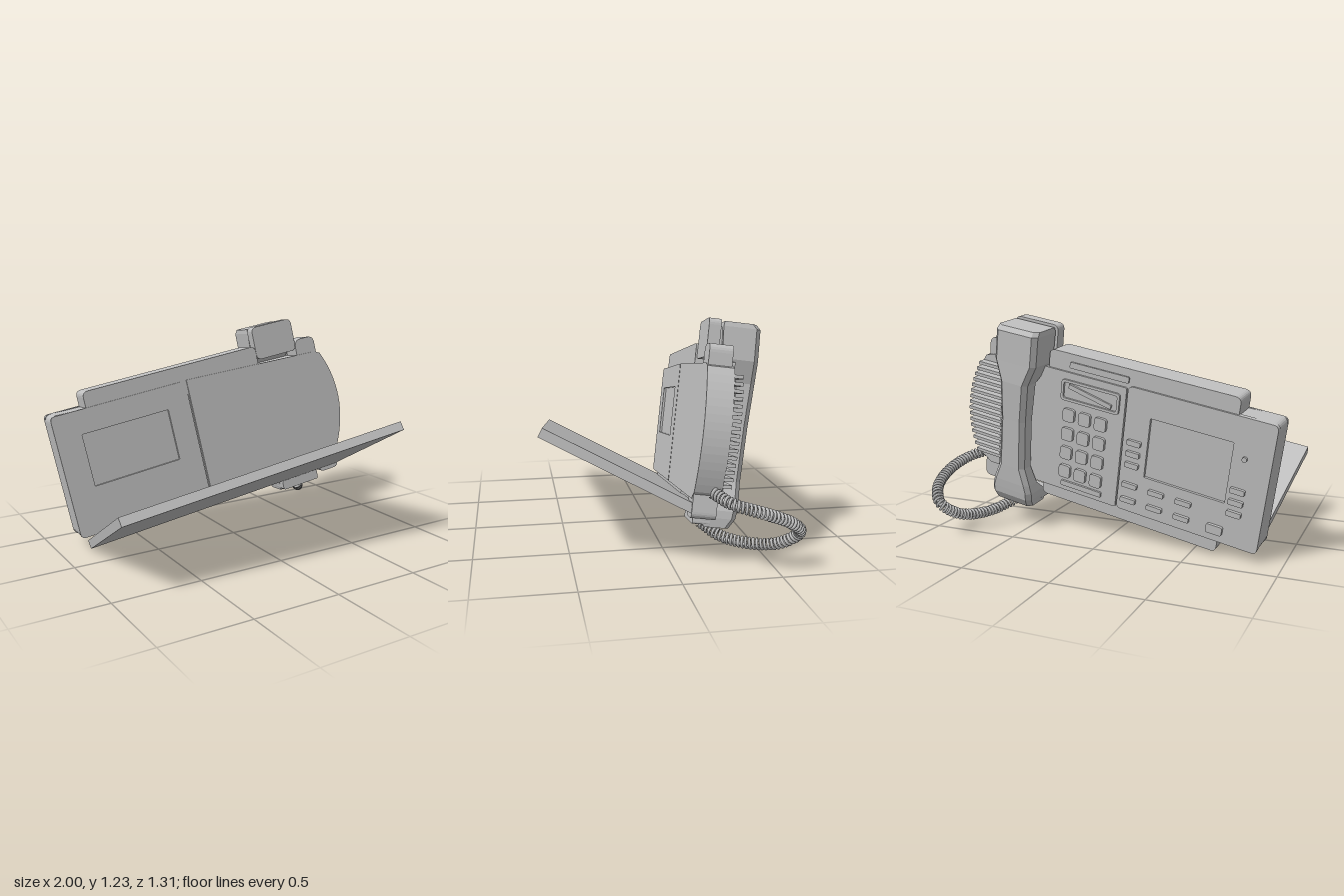
import * as THREE from 'three';

const grey = new THREE.MeshStandardMaterial({ color: 0xc0c0c0 });
grey.name = 'grey';

function add(parent, name, geometry) {
  const m = new THREE.Mesh(geometry, grey);
  m.name = name;
  parent.add(m);
  return m;
}

// Rectangle path with rounded corners
function roundRect(x0, x1, y0, y1, r, target = new THREE.Shape()) {
  target.moveTo(x0 + r, y0);
  target.lineTo(x1 - r, y0);
  target.quadraticCurveTo(x1, y0, x1, y0 + r);
  target.lineTo(x1, y1 - r);
  target.quadraticCurveTo(x1, y1, x1 - r, y1);
  target.lineTo(x0 + r, y1);
  target.quadraticCurveTo(x0, y1, x0, y1 - r);
  target.lineTo(x0, y0 + r);
  target.quadraticCurveTo(x0, y0, x0 + r, y0);
  return target;
}

// Straight extrusion between two depths
function slab(shape, z0, z1) {
  const g = new THREE.ExtrudeGeometry(shape, { depth: z1 - z0, bevelEnabled: false, curveSegments: 6 });
  g.translate(0, 0, z0);
  return g;
}

// Edge of the rounded speaker end at a given height
const endX = (y) => 0.82 + 0.08 * (1 - ((y - 0.02) / 0.31) ** 2);

// Body outline from x0 to the curved end
function bodyOutline(x0, r) {
  const s = new THREE.Shape();
  s.moveTo(x0 + r, -0.33);
  s.lineTo(0.76, -0.33);
  for (let i = 0; i <= 16; i++) {
    const y = -0.29 + (0.62 * i) / 16;
    s.lineTo(endX(y), y);
  }
  s.lineTo(0.77, 0.345);
  s.lineTo(x0 + r, 0.385);
  s.quadraticCurveTo(x0, 0.385, x0, 0.385 - r);
  s.lineTo(x0, -0.33 + r);
  s.quadraticCurveTo(x0, -0.33, x0 + r, -0.33);
  return s;
}

// Skin chamfered cross-sections [y, inner z, outer z, half width]
function loft(sections, cx) {
  const rings = sections.map(([y, zi, zo, w]) => {
    const c = 0.025;
    return [[w, zi], [w, zo + c], [w - c, zo], [-w + c, zo], [-w, zo + c], [-w, zi]]
      .map(([x, z]) => [cx + x, y, z]);
  });
  const pos = [];
  const n = 6;
  for (let k = 0; k + 1 < rings.length; k++) {
    for (let i = 0; i < n; i++) {
      const j = (i + 1) % n;
      const a = rings[k][i], b = rings[k][j], c = rings[k + 1][j], d = rings[k + 1][i];
      pos.push(...a, ...b, ...c, ...a, ...c, ...d);
    }
  }
  const top = rings[rings.length - 1], bottom = rings[0];
  for (let i = 1; i + 1 < n; i++) {
    pos.push(...bottom[0], ...bottom[i + 1], ...bottom[i]);
    pos.push(...top[0], ...top[i], ...top[i + 1]);
  }
  const g = new THREE.BufferGeometry();
  g.setAttribute('position', new THREE.Float32BufferAttribute(pos, 3));
  g.computeVertexNormals();
  return g;
}

// Helix wound around a path
class Coil extends THREE.Curve {
  constructor(path, turns, radius) {
    super();
    Object.assign(this, { path, turns, radius });
  }
  getPoint(t, target = new THREE.Vector3()) {
    const p = this.path.getPointAt(t);
    const tan = this.path.getTangentAt(t);
    const side = new THREE.Vector3(0.64, -0.66, 0.4).normalize();
    side.addScaledVector(tan, -side.dot(tan)).normalize();
    const other = new THREE.Vector3().crossVectors(tan, side);
    const a = t * this.turns * Math.PI * 2;
    return target.copy(p)
      .addScaledVector(side, Math.cos(a) * this.radius)
      .addScaledVector(other, Math.sin(a) * this.radius);
  }
}

export function createModel() {
  const model = new THREE.Group();
  model.name = 'deskPhone';

  // Tilted axes shared by the phone and its base plate
  const right = new THREE.Vector3(0.982, 0.172, 0.071).normalize();
  const front = new THREE.Vector3().crossVectors(right, new THREE.Vector3(-0.165, 0.977, -0.135)).normalize();
  const up = new THREE.Vector3().crossVectors(front, right);
  const phone = new THREE.Group();
  phone.name = 'phone';
  phone.quaternion.setFromRotationMatrix(new THREE.Matrix4().makeBasis(right, up, front));
  phone.position.set(0, 0.55, -0.25);
  model.add(phone);

  // Base plate
  const plate = add(model, 'basePlate', new THREE.BoxGeometry(1.69, 0.05, 0.85));
  const slope = new THREE.Vector3(-0.153, 0.458, 0.875);
  slope.addScaledVector(right, -slope.dot(right)).normalize();
  const plateUp = new THREE.Vector3().crossVectors(slope, right);
  plate.quaternion.setFromRotationMatrix(new THREE.Matrix4().makeBasis(right, plateUp, slope));
  plate.position.set(-0.059, 0.369, 0.214);

  // Body core, rear panels with the recess, and key face with the screen opening
  add(phone, 'bodyCore', slab(bodyOutline(-0.94, 0.04), -0.07, 0.052));
  const leftPanel = roundRect(-0.94, -0.119, -0.33, 0.383, 0.03);
  leftPanel.holes.push(roundRect(-0.79, -0.26, -0.06, 0.245, 0.005, new THREE.Path()));
  add(phone, 'leftPanel', slab(leftPanel, 0.052, 0.066));
  add(phone, 'rightPanel', slab(bodyOutline(-0.109, 0.005), 0.052, 0.066));
  const keyFace = roundRect(-0.94, -0.119, -0.33, 0.385, 0.03);
  keyFace.holes.push(roundRect(-0.73, -0.265, -0.1, 0.24, 0.005, new THREE.Path()));
  add(phone, 'screenFace', slab(keyFace, -0.1, -0.07));
  add(phone, 'keypadFace', slab(roundRect(-0.111, 0.68, -0.33, 0.37, 0.01), -0.1, -0.07));
  add(phone, 'screen', slab(roundRect(-0.73, -0.265, -0.1, 0.24, 0.005), -0.084, -0.069));

  // Raised edges along the top and bottom
  add(phone, 'topRidge', slab(roundRect(-0.73, 0.38, 0.3, 0.473, 0.035), -0.088, 0.06));
  add(phone, 'bottomRidge', slab(roundRect(-0.72, 0.37, -0.4, -0.3, 0.03), -0.088, 0.06));
  add(phone, 'topLug', slab(roundRect(0.66, 0.8, 0.25, 0.445, 0.045), -0.06, 0.06));
  add(phone, 'bottomLug', slab(roundRect(0.66, 0.8, -0.425, -0.22, 0.035), -0.06, 0.064));

  // Speaker ribs
  for (let i = 0; i < 16; i++) {
    const y = -0.25 + i * 0.036;
    const x1 = endX(y) - 0.005;
    const rib = add(phone, 'speakerRib', new THREE.BoxGeometry(x1 - 0.66, 0.018, 0.05));
    rib.position.set((x1 + 0.66) / 2, y, -0.09);
  }

  // Keys: [x, y, width, height]
  const key = (name, x, y, w, h, top = -0.118) =>
    add(phone, name, slab(roundRect(x - w / 2, x + w / 2, y - h / 2, y + h / 2, h * 0.25), top, -0.095));
  for (let r = 0; r < 4; r++) {
    for (let c = 0; c < 3; c++) key('numberKey', 0.02 + c * 0.1, 0.13 - r * 0.113, 0.072, 0.075);
  }
  for (let i = 0; i < 3; i++) {
    key('screenKeyInner', -0.19, 0.08 - i * 0.065, 0.08, 0.03);
    key('screenKeyOuter', -0.79, -0.01 - i * 0.065, 0.08, 0.03);
    for (const y of [-0.17, -0.26]) key('functionKey', -0.19 - i * 0.16, y, 0.09, 0.028);
  }
  key('keypadBar', 0.11, -0.285, 0.26, 0.03, -0.112);
  key('ridgeBar', 0.06, 0.415, 0.36, 0.035, -0.105);
  key('navigationKey', -0.7, -0.26, 0.09, 0.05);
  const lamp = add(phone, 'lamp', new THREE.CylinderGeometry(0.014, 0.014, 0.03, 12));
  lamp.rotation.x = Math.PI / 2;
  lamp.position.set(-0.8, 0.17, -0.1);

  // Frame and slanted bar above the number keys
  const frame = roundRect(-0.08, 0.28, 0.21, 0.33, 0.02);
  frame.holes.push(roundRect(-0.065, 0.265, 0.225, 0.315, 0.012, new THREE.Path()));
  add(phone, 'labelFrame', slab(frame, -0.112, -0.098));
  const bar = add(phone, 'labelBar', new THREE.BoxGeometry(0.27, 0.025, 0.02));
  bar.position.set(0.1, 0.27, -0.102);
  bar.rotation.z = 0.2;

  // Handset with wide ear and mouth ends and a slim grip
  const handset = new THREE.Group();
  handset.name = 'handset';
  phone.add(handset);
  add(handset, 'handsetShell', loft([
    [-0.48, -0.03, -0.165, 0.125],
    [-0.43, -0.01, -0.195, 0.133],
    [-0.39, -0.05, -0.2, 0.133],
    [-0.34, -0.105, -0.205, 0.12],
    [-0.24, -0.125, -0.21, 0.085],
    [0.05, -0.132, -0.22, 0.08],
    [0.27, -0.13, -0.23, 0.09],
    [0.385, -0.035, -0.226, 0.133],
    [0.55, -0.025, -0.222, 0.133],
    [0.575, -0.03, -0.2, 0.128],
  ], 0.525));
  add(handset, 'earPad', slab(roundRect(0.385, 0.665, 0.385, 0.585, 0.035), -0.012, 0.052));
  add(handset, 'earNeck', slab(roundRect(0.42, 0.63, 0.41, 0.55, 0.03), -0.04, -0.01));
  add(handset, 'mouthPad', slab(roundRect(0.395, 0.655, -0.47, -0.41, 0.015), -0.06, 0.03));

  // Coiled cord
  const path = new THREE.CatmullRomCurve3([
    [0.85, 0.41, -0.18], [0.94, 0.375, -0.25], [0.975, 0.33, -0.4], [0.95, 0.26, -0.56],
    [0.89, 0.19, -0.62], [0.82, 0.115, -0.54], [0.74, 0.095, -0.4], [0.67, 0.12, -0.27],
    [0.59, 0.175, -0.18],
  ].map((p) => new THREE.Vector3(...p)));
  add(model, 'coiledCord', new THREE.TubeGeometry(new Coil(path, 58, 0.025), 700, 0.008, 6));

  return model;
}
